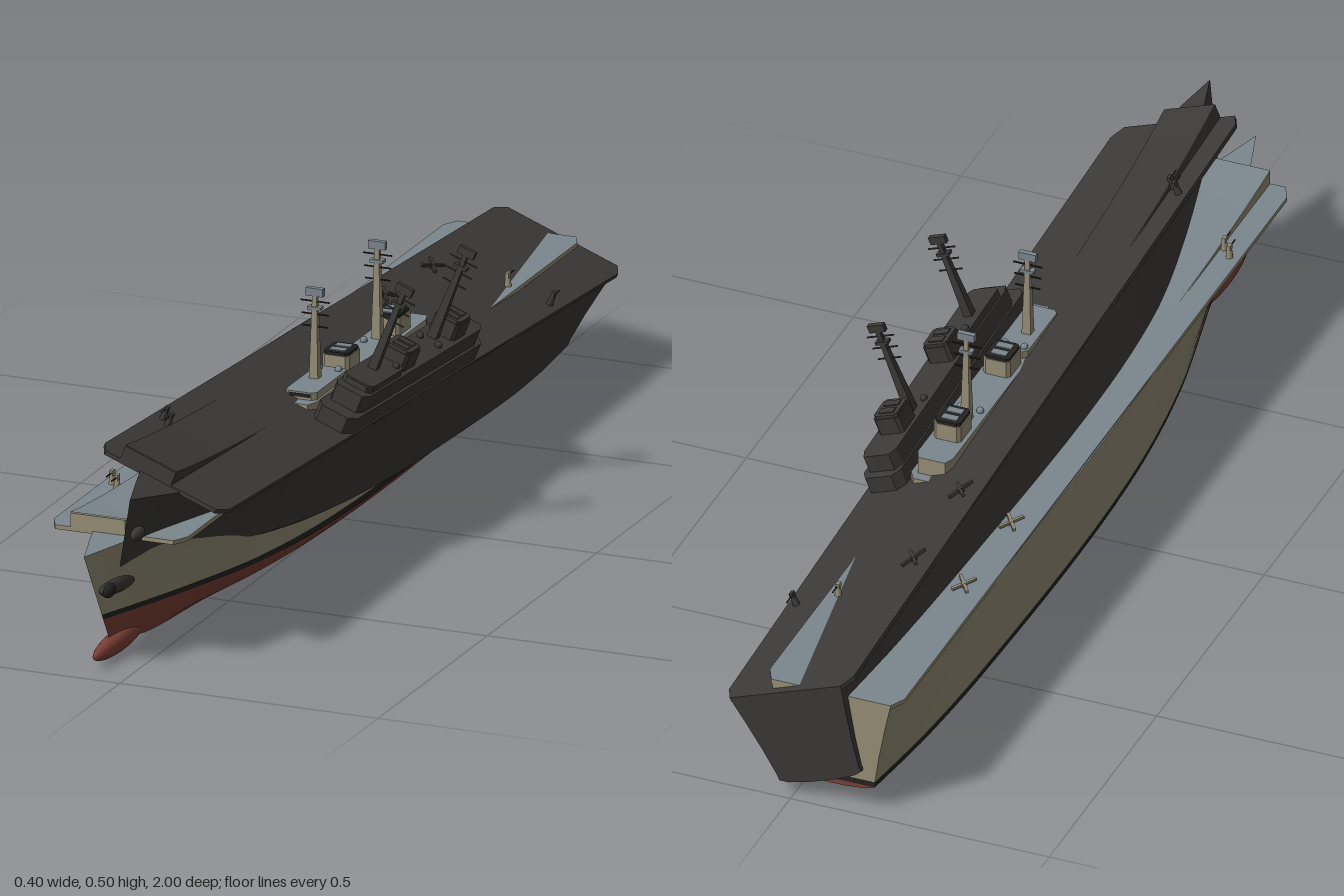
import * as THREE from 'three';
import { toCreasedNormals } from 'three/addons/utils/BufferGeometryUtils.js';

const paint = (name, color) => Object.assign(new THREE.MeshStandardMaterial({ color }), { name });

// Hull lines sampled at stations from stern (0) to stem (1)
const T = [0, 0.1, 0.25, 0.6, 0.75, 0.85, 0.93, 1];
const line = (...v) => {
  const f = new THREE.CubicInterpolant(T, v, 1);
  return t => Math.max(0, f.evaluate(t)[0]);
};
const deckHalf = line(0.115, 0.125, 0.13, 0.13, 0.118, 0.085, 0.042, 0);
const waterHalf = line(0.085, 0.105, 0.12, 0.12, 0.092, 0.056, 0.024, 0);
const keelY = line(0.04, 0.015, 0, 0, 0, 0, 0.004, 0.03);
const waterY = line(0.05, 0.047, 0.046, 0.046, 0.051, 0.06, 0.07, 0.083);
const DECK = 0.23;

// Rows from keel to deck edge, each giving [half width, height]
const mix = THREE.MathUtils.lerp;
const topside = k => t => [mix(waterHalf(t), deckHalf(t), k ** 1.2), mix(waterY(t) + 0.011, DECK - 0.002, k)];
const bottom = (w, k) => t => [waterHalf(t) * w, mix(keelY(t), waterY(t), k)];
const rows = [bottom(0, 0), bottom(0.36, 0.04), bottom(0.8, 0.4), bottom(1, 1),
  topside(0), topside(0.33), topside(0.66), topside(1)];
const STEPS = 44;

function hullPoint(row, i, side) {
  const t = i / STEPS, [w, y] = rows[row](t);
  return [side * w, y, mix(-0.98, 0.86 + y * 0.61, t)];
}

function quadGeometry(quads) {
  const pos = [];
  for (const [a, b, c, d] of quads) pos.push(...a, ...b, ...c, ...a, ...c, ...d);
  const g = new THREE.BufferGeometry();
  g.setAttribute('position', new THREE.Float32BufferAttribute(pos, 3));
  return toCreasedNormals(g, 0.6);
}

// One painted band of the hull: both sides plus its strip of transom
function hullBand(from, to) {
  const quads = [];
  for (let j = from; j < to; j++) {
    for (let i = 0; i < STEPS; i++) {
      const p = s => [hullPoint(j, i, s), hullPoint(j, i + 1, s), hullPoint(j + 1, i + 1, s), hullPoint(j + 1, i, s)];
      quads.push(p(1).reverse(), p(-1));
    }
    quads.push([hullPoint(j, 0, 1), hullPoint(j, 0, -1), hullPoint(j + 1, 0, -1), hullPoint(j + 1, 0, 1)]);
  }
  return quadGeometry(quads);
}

function hullTop() {
  const quads = [], r = rows.length - 1;
  for (let i = 0; i < STEPS; i++)
    quads.push([hullPoint(r, i, -1), hullPoint(r, i + 1, -1), hullPoint(r, i + 1, 1), hullPoint(r, i, 1)]);
  return quadGeometry(quads);
}

// Plan-view slab with chamfered corners
function slab(x0, x1, z0, z1, y0, y1, c, cz = c) {
  const s = new THREE.Shape([[x0 + c, z0], [x1 - c, z0], [x1, z0 + cz], [x1, z1 - cz],
    [x1 - c, z1], [x0 + c, z1], [x0, z1 - cz], [x0, z0 + cz]].map(([x, z]) => new THREE.Vector2(x, -z)));
  return new THREE.ExtrudeGeometry(s, { depth: y1 - y0, bevelEnabled: false })
    .rotateX(-Math.PI / 2).translate(0, y0, 0);
}

function buildShip(m, name) {
  const ship = new THREE.Group();
  ship.name = name;
  const add = (part, geo, mat, x = 0, y = 0, z = 0, parent = ship) => {
    const mesh = new THREE.Mesh(geo, mat);
    mesh.name = part;
    mesh.position.set(x, y, z);
    parent.add(mesh);
    return mesh;
  };
  const box = (part, w, h, d, mat, x, y, z, parent) => add(part, new THREE.BoxGeometry(w, h, d), mat, x, y, z, parent);

  // Hull
  add('lowerHull', hullBand(0, 3), m.red);
  add('waterlineStripe', hullBand(3, 4), m.black);
  add('upperHull', hullBand(4, 7), m.beige);
  add('foredeck', hullTop(), m.deck);
  add('bowBulb', new THREE.SphereGeometry(1, 20, 12).scale(0.018, 0.02, 0.11), m.red, 0, 0.023, 0.842);
  add('bowAnchor', new THREE.SphereGeometry(1, 12, 8).scale(0.011, 0.014, 0.022), m.black, 0.014, 0.143, 0.918);
  for (const s of [-1, 1]) box('rudder', 0.006, 0.034, 0.07, m.red, s * 0.045, 0.025, -0.87);

  // Flight deck and raised take-off ramp
  add('flightDeck', slab(-0.13, 0.13, -0.98, 0.86, DECK - 0.007, DECK + 0.001, 0.015, 0.03), [m.deck, m.beige]);
  const wedge = new THREE.Shape();
  wedge.moveTo(0.42, 0);
  wedge.lineTo(0.86, 0);
  wedge.lineTo(0.86, 0.027);
  wedge.quadraticCurveTo(0.68, 0.005, 0.42, 0);
  const ramp = new THREE.ExtrudeGeometry(wedge, { depth: 0.106, bevelEnabled: false, curveSegments: 8 });
  add('takeoffRamp', ramp.rotateY(-Math.PI / 2), m.beige, 0.021, DECK, 0);
  const top = [];
  const curve = new THREE.QuadraticBezierCurve(new THREE.Vector2(0.42, 0),
    new THREE.Vector2(0.68, 0.005), new THREE.Vector2(0.86, 0.027)).getPoints(8);
  for (let i = 0; i < 8; i++) {
    const at = (x, p) => [x, p.y + DECK + 0.002, p.x];
    top.push([at(-0.085, curve[i]), at(-0.085, curve[i + 1]), at(0.021, curve[i + 1]), at(0.021, curve[i])]);
  }
  add('rampSurface', quadGeometry(top), m.deck);

  // Island superstructure
  const island = new THREE.Group();
  island.name = 'island';
  ship.add(island);
  add('islandBase', slab(0.05, 0.127, -0.32, 0.285, DECK - 0.02, 0.262, 0.012, 0.02), [m.deck, m.beige], 0, 0, 0, island);
  add('islandHouse', slab(0.054, 0.122, -0.3, 0.245, 0.262, 0.295, 0.008, 0.02), [m.deck, m.beige], 0, 0, 0, island);
  add('bridge', slab(0.058, 0.118, 0.07, 0.22, 0.295, 0.309, 0.008), [m.deck, m.beige], 0, 0, 0, island);
  box('bridgeWindows', 0.04, 0.006, 0.004, m.black, 0.088, 0.303, 0.22, island);
  for (const z of [-0.2, 0.03]) {
    add('funnel', slab(0.062, 0.114, z - 0.03, z + 0.03, 0.295, 0.327, 0.006), m.beige, 0, 0, 0, island);
    add('funnelCap', slab(0.064, 0.112, z - 0.028, z + 0.028, 0.327, 0.333, 0.006), m.black, 0, 0, 0, island);
    for (const s of [-1, 1]) box('funnelVent', 0.03, 0.002, 0.016, m.deck, 0.088, 0.334, z + s * 0.012, island);
  }
  for (const z of [-0.12, 0.085])
    for (const x of [0.068, 0.106])
      add('radarDome', new THREE.SphereGeometry(0.007, 10, 8), m.deck, x, z > 0 ? 0.311 : 0.298, z, island);

  // Masts with yards and radar
  for (const z of [-0.15, 0.135]) {
    const mast = new THREE.Group();
    mast.name = 'mast';
    mast.position.set(0.082, 0, z);
    ship.add(mast);
    const pole = new THREE.CylinderGeometry(0.006, 0.013, 0.175, 4).rotateY(Math.PI / 4).toNonIndexed();
    pole.computeVertexNormals();
    add('mastPole', pole, m.beige, 0, 0.378, 0, mast);
    for (const [y, w] of [[0.405, 0.048], [0.428, 0.052], [0.452, 0.056]])
      box('yard', w, 0.002, 0.003, m.black, 0, y, 0, mast);
    box('mastPlatform', 0.026, 0.006, 0.014, m.deck, 0, 0.44, 0, mast);
    box('radar', 0.033, 0.015, 0.01, m.deck, 0, 0.47, 0, mast);
  }

  // Deck-edge gun mounts
  for (const [x, z] of [[-0.11, 0.61], [-0.092, 0.63], [0.11, -0.68]]) {
    const gun = new THREE.Group();
    gun.name = 'gunMount';
    gun.position.set(x, DECK, z);
    ship.add(gun);
    add('gunBase', new THREE.CylinderGeometry(0.005, 0.007, 0.018, 8), m.beige, 0, 0.009, 0, gun);
    box('gunBody', 0.007, 0.01, 0.012, m.beige, 0, 0.022, 0, gun);
    box('gunBarrel', 0.002, 0.002, 0.025, m.black, 0, 0.022, x > 0 ? -0.014 : 0.014, gun);
  }
  // Low crossed deck cranes
  for (const z of [-0.57, -0.35]) {
    for (const a of [0.6, -0.5]) {
      const arm = box('deckCrane', 0.006, 0.005, 0.055, m.beige, -0.087, DECK + 0.008, z);
      arm.rotation.y = a;
    }
    box('cranePost', 0.008, 0.012, 0.008, m.beige, -0.087, DECK + 0.005, z);
  }
  return ship;
}

export function createModel() {
  const model = new THREE.Group();
  model.name = 'carrierPair';
  const dark = paint('charcoal', 0x3c3a38);
  const painted = buildShip({
    red: paint('hullRed', 0x7c4035), black: paint('stripeBlack', 0x232321),
    beige: paint('hullBeige', 0x958e76), deck: paint('deckGrey', 0x7c878e),
  }, 'paintedShip');
  painted.position.x = -0.07;

  // Charcoal twin, heeled over and pitched bow-up through the painted ship
  const twin = buildShip({ red: dark, black: dark, beige: dark, deck: dark }, 'charcoalShip');
  twin.position.set(-0.07, 0.066, -0.006);
  twin.rotation.set(-0.061, 0, -0.36);
  model.add(painted, twin);
  return model;
}
